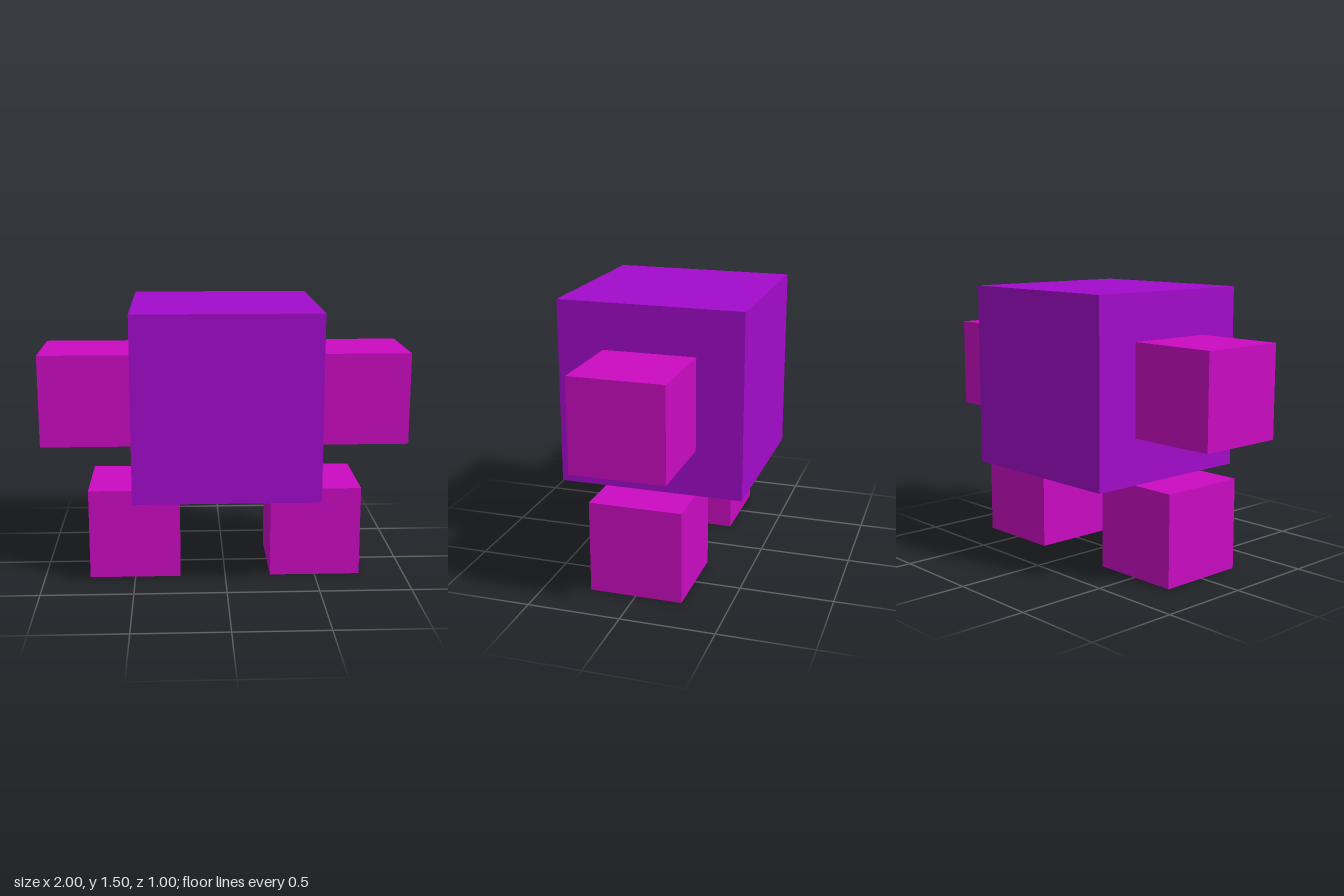
import * as THREE from 'three';

export function createModel() {
  const model = new THREE.Group();
  const purple = new THREE.MeshStandardMaterial({ color: 0xa30bcb });
  const magenta = new THREE.MeshStandardMaterial({ color: 0xcb0bc2 });

  const addCube = (name, size, material, x, y) => {
    const mesh = new THREE.Mesh(new THREE.BoxGeometry(size, size, size), material);
    mesh.name = name;
    mesh.position.set(x, y, 0);
    model.add(mesh);
  };

  addCube('body', 1, purple, 0, 1);

  // Mirrored arms and legs, each a half-size cube
  for (const [side, sign] of [['left', 1], ['right', -1]]) {
    addCube(side + 'Arm', 0.5, magenta, sign * 0.75, 1);
    addCube(side + 'Leg', 0.5, magenta, sign * 0.5, 0.25);
  }
  return model;
}
